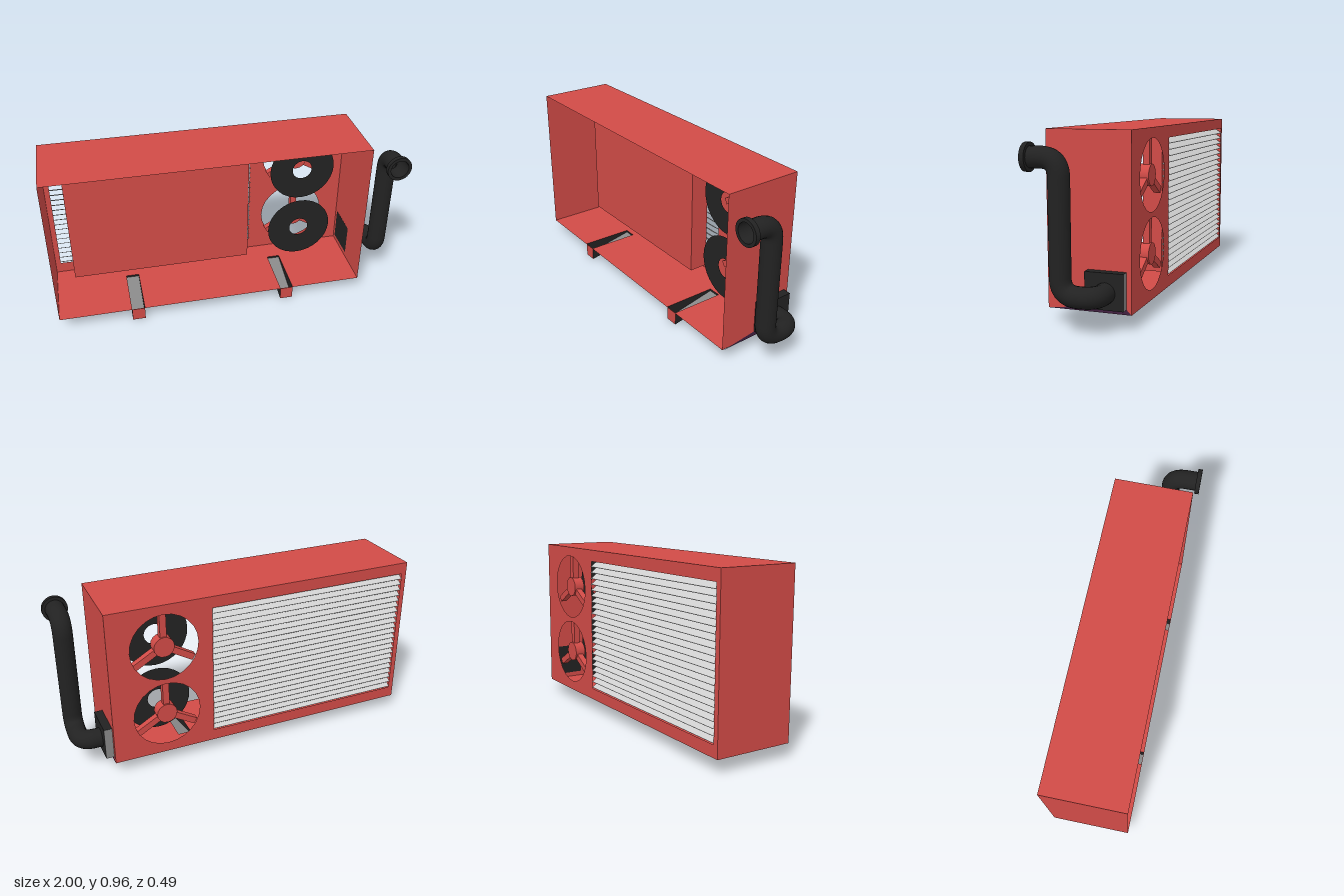
import * as THREE from 'three';

const mat = (name, color, side = THREE.FrontSide) => {
  const m = new THREE.MeshStandardMaterial({ color, side });
  m.name = name;
  return m;
};

export function createModel() {
  const red = mat('red casing', 0xd14b47, THREE.DoubleSide);
  const black = mat('black', 0x222222, THREE.DoubleSide);
  const grey = mat('mid grey', 0x888888, THREE.DoubleSide);
  const pale = mat('pale grey', 0xd0d0d0);
  const purple = mat('dark purple', 0x40203f, THREE.DoubleSide);

  const model = new THREE.Group();
  const add = (parent, name, geo, material, x = 0, y = 0, z = 0) => {
    const m = new THREE.Mesh(geo, material);
    m.name = name;
    m.position.set(x, y, z);
    parent.add(m);
    return m;
  };
  // Flat polygon from 3D corners in order
  const poly = (...pts) => {
    const g = new THREE.BufferGeometry();
    g.setAttribute('position', new THREE.Float32BufferAttribute(pts.flat(), 3));
    const idx = [];
    for (let i = 1; i < pts.length - 1; i++) idx.push(0, i, i + 1);
    g.setIndex(idx);
    g.computeVertexNormals();
    return g;
  };
  const rect = (x0, y0, x1, y1, Type = THREE.Path) => new Type([
    new THREE.Vector2(x0, y0), new THREE.Vector2(x1, y0),
    new THREE.Vector2(x1, y1), new THREE.Vector2(x0, y1)]);

  // Casing stands very slightly turned; its children use casing-centred x and z
  const body = new THREE.Group();
  body.name = 'body';
  const CX = -0.1125, CZ = -0.0125;
  body.position.set(CX, 0, CZ);
  body.rotation.y = -0.0085;
  model.add(body);
  const W = 0.8875, D = 0.22, Y0 = 0.08, Y1 = 0.965;
  const X = x => x - CX;
  const fanYs = [0.322, 0.725], fanX = X(0.47);

  // Rear wall with louvre window and fan openings
  const back = rect(-W, Y0, W, Y1, THREE.Shape);
  back.holes.push(rect(X(-0.97), 0.145, X(0.2), 0.9));
  for (const y of fanYs) back.holes.push(new THREE.Path().absarc(fanX, y, 0.188, 0, Math.PI * 2, true));
  add(body, 'rearWall', new THREE.ShapeGeometry(back, 12), red, 0, 0, -D);

  // Side walls and top, open front
  for (const x of [-W, W])
    add(body, 'sideWall', poly([x, Y0, -D], [x, Y0, D], [x, Y1, D], [x, Y1, -D]), red);
  add(body, 'top', poly([-W, Y1, D], [W, Y1, D], [W, Y1, -D], [-W, Y1, -D]), red);

  // Floor with slots over the hollow wedge feet (shape y maps to -z)
  const legXs = [X(-0.552), X(0.332)], hw = 0.037, zf = 0.217, zb = -0.093;
  const floor = rect(-W, -D, W, D, THREE.Shape);
  for (const x of legXs) floor.holes.push(rect(x - hw, -zf, x + hw, -zb));
  add(body, 'floor', new THREE.ShapeGeometry(floor).rotateX(-Math.PI / 2), red, 0, Y0, 0);

  for (const x of legXs) {
    const a = x - hw, b = x + hw, low = 0.002, high = 0.068;
    const foot = new THREE.Group();
    foot.name = 'foot';
    body.add(foot);
    add(foot, 'footFront', poly([a, low, zf], [b, low, zf], [b, Y0, zf], [a, Y0, zf]), red);
    add(foot, 'footSlope', poly([a, low, zf], [a, high, zb], [b, high, zb], [b, low, zf]), grey);
    add(foot, 'footBack', poly([a, high, zb], [a, Y0, zb], [b, Y0, zb], [b, high, zb]), black);
    for (const s of [a, b])
      add(foot, 'footSide', poly([s, low, zf], [s, high, zb], [s, Y0, zb], [s, Y0, zf]), black);
  }

  // Inner core box behind the louvres
  add(body, 'coreBox', new THREE.BoxGeometry(1.045, 0.75, 0.11), red, X(-0.3675), 0.525, -0.112);

  // Louvre slats, sloping down towards the outside
  const slats = 22, pitch = 0.75 / slats;
  for (let i = 0; i < slats; i++) {
    const s = add(body, 'slat', new THREE.BoxGeometry(1.17, 0.003, 0.048), pale,
      X(-0.385), 0.15 + (i + 0.5) * pitch, -0.203);
    s.rotation.x = -0.62;
  }

  // Fans: front ring, rear hub and three spokes
  for (const y of fanYs) {
    const fan = new THREE.Group();
    fan.name = 'fan';
    fan.position.set(fanX, y, 0);
    body.add(fan);
    add(fan, 'fanRing', new THREE.RingGeometry(0.057, 0.19, 32), black, 0, 0, -0.047);
    add(fan, 'fanHub', new THREE.CylinderGeometry(0.057, 0.057, 0.06, 16).rotateX(Math.PI / 2), red, 0, 0, -0.188);
    for (let i = 0; i < 3; i++) {
      const g = new THREE.BoxGeometry(0.036, 0.15, 0.036).translate(0, 0.115, 0);
      add(fan, 'fanSpoke', g, red, 0, 0, -0.192).rotation.z = i * Math.PI * 2 / 3;
    }
  }

  // Pipe mount and dark patch beneath it
  add(model, 'pipeMount', new THREE.BoxGeometry(0.046, 0.183, 0.2),
    [black, black, black, black, black, grey], 0.798, 0.1985, -0.1);
  const px = 0.7785;
  add(model, 'lowerPatch', poly([px, 0.081, 0.207], [px, 0.081, -0.225], [px, 0.107, -0.2], [px, 0.107, 0]), purple);

  // Bent pipe: straight runs joined by rounded elbows
  const corners = [[0.81, 0.19, -0.105], [0.928, 0.19, -0.105], [0.928, 0.19, 0.075],
    [0.928, 0.84, 0.075], [0.928, 0.84, 0.235]].map(p => new THREE.Vector3(...p));
  const radii = [0, 0.075, 0.09, 0.09];
  const path = new THREE.CurvePath();
  let from = corners[0];
  for (let i = 1; i < 4; i++) {
    const c = corners[i];
    const p = c.clone().add(corners[i - 1].clone().sub(c).setLength(radii[i]));
    const q = c.clone().add(corners[i + 1].clone().sub(c).setLength(radii[i]));
    path.add(new THREE.LineCurve3(from, p));
    path.add(new THREE.QuadraticBezierCurve3(p, c, q));
    from = q;
  }
  path.add(new THREE.LineCurve3(from, corners[4]));
  add(model, 'pipe', new THREE.TubeGeometry(path, 90, 0.053, 20), black);

  // Hollow flange at the pipe mouth
  const ring = new THREE.Shape().absarc(0, 0, 0.07, 0, Math.PI * 2);
  ring.holes.push(new THREE.Path().absarc(0, 0, 0.052, 0, Math.PI * 2, true));
  add(model, 'pipeFlange', new THREE.ExtrudeGeometry(ring, { depth: 0.025, bevelEnabled: false, curveSegments: 16 }),
    black, 0.928, 0.84, 0.218);

  return model;
}
